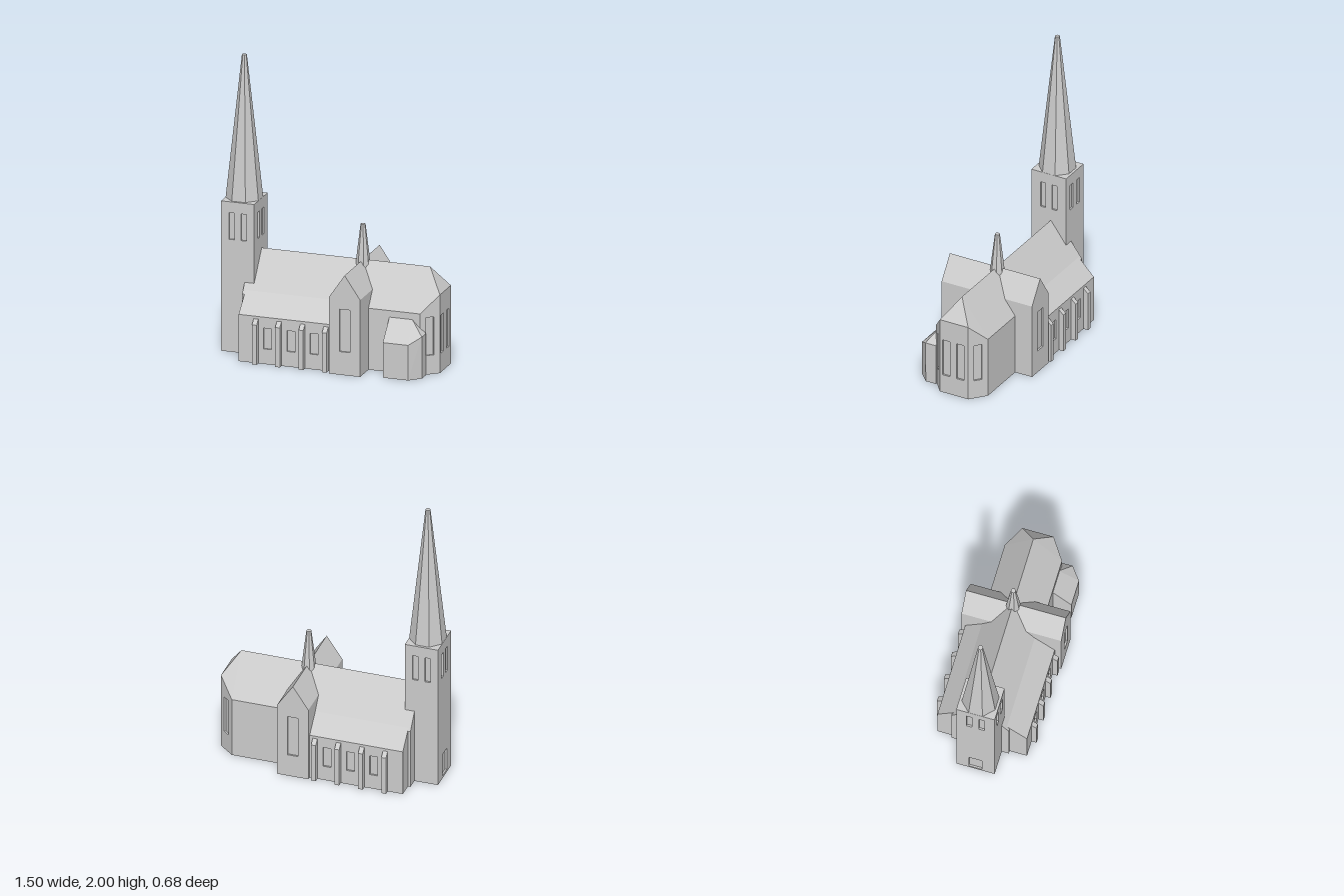
import * as THREE from 'three';
import { ConvexGeometry } from 'three/addons/geometries/ConvexGeometry.js';

const D = 0.012; // window recess depth

export function createModel() {
  const model = new THREE.Group();
  model.name = 'church';
  const stone = new THREE.MeshStandardMaterial({ color: 0xcccccc });
  stone.name = 'pale stone';

  function add(name, geometry, x = 0, y = 0, z = 0) {
    const mesh = new THREE.Mesh(geometry, stone);
    mesh.name = name;
    mesh.position.set(x, y, z);
    model.add(mesh);
    return mesh;
  }
  // Convex solid from its corner points
  const solid = (name, pts) =>
    add(name, new ConvexGeometry(pts.map(p => new THREE.Vector3(...p))));
  // Box from its limits, standing on the ground
  const block = (name, x0, x1, z0, z1, h) =>
    add(name, new THREE.BoxGeometry(x1 - x0, h, z1 - z0), (x0 + x1) / 2, h / 2, (z0 + z1) / 2);

  // Wall slab from a to b ([x, z], left to right seen from outside) with openings [centre, bottom, width, height]
  function wall(name, a, b, hA, hB, openings = []) {
    const dx = b[0] - a[0], dz = b[1] - a[1], len = Math.hypot(dx, dz);
    const shape = new THREE.Shape([[0, 0], [len, 0], [len, hB], [0, hA]].map(p => new THREE.Vector2(...p)));
    for (const [c, y, w, h] of openings) {
      shape.holes.push(new THREE.Path([[c - w / 2, y], [c - w / 2, y + h], [c + w / 2, y + h], [c + w / 2, y]]
        .map(p => new THREE.Vector2(...p))));
    }
    const geo = new THREE.ExtrudeGeometry(shape, { depth: D, bevelEnabled: false });
    const mesh = add(name, geo, a[0] + dz / len * D, 0, a[1] - dx / len * D);
    mesh.rotation.y = Math.atan2(-dz, dx);
  }

  // Eight-sided spire with flat sides facing the axes; rings are [apothem, y]
  function spire(name, rings, x, z) {
    const k = 1 / Math.cos(Math.PI / 8);
    for (let i = 0; i + 1 < rings.length; i++) {
      const [r0, y0] = rings[i], [r1, y1] = rings[i + 1];
      const geo = new THREE.CylinderGeometry(r1 * k, r0 * k, y1 - y0, 8).rotateY(Math.PI / 8).toNonIndexed();
      geo.computeVertexNormals();
      add(name, geo, x, (y0 + y1) / 2, z);
    }
  }

  // Tower with paired belfry windows and a west door
  const tx0 = -0.75, tx1 = -0.522, tz = 0.13, th = 1.025;
  block('towerCore', tx0 + D, tx1 - D, -tz + D, tz - D, th);
  const corners = [[tx0, tz], [tx1, tz], [tx1, -tz], [tx0, -tz]];
  corners.forEach((a, i) => {
    const b = corners[(i + 1) % 4];
    const mid = Math.hypot(b[0] - a[0], b[1] - a[1]) / 2;
    const openings = [-0.042, 0.042].map(o => [mid + o, 0.768, 0.038, 0.182]);
    if (i === 3) openings.push([mid, 0.02, 0.09, 0.16]);
    wall('towerWall', a, b, th, th, openings);
  });
  spire('towerSpire', [[0.113, th], [0.015, 2]], (tx0 + tx1) / 2, 0);

  // Nave and choir: wall core, then the roof hipped over the angled east end
  const zf = 0.178, zb = -0.21, zc = -0.016, eave = 0.42, ridge = 0.685, hip = 0.535;
  const ends = [[zf, 0.09, 0.0844], [zb, -0.122, -0.1164]];
  const core = [], roof = [[-0.588, ridge, zc], [0.64, ridge, zc]];
  for (const [zw, ze, zi] of ends) {
    for (const y of [0, eave]) core.push([-0.588, y, zw], [0.6215, y, zw], [0.745 - D, y, zi]);
    roof.push([-0.588, eave, zw], [0.64, eave, zw], [0.745, hip, ze]);
  }
  solid('naveCore', core);
  solid('naveRoof', roof);
  wall('choirWall', [0.28, zf], [0.64, zf], eave, eave);
  wall('choirWall', [0.64, zb], [0.28, zb], eave, eave);
  const diag = Math.hypot(0.105, 0.088);
  const apseWindow = c => [c, 0.13, 0.054, 0.26];
  wall('apseWall', [0.64, zf], [0.745, 0.09], eave, hip, [apseWindow(diag / 2)]);
  wall('apseWall', [0.745, 0.09], [0.745, -0.122], hip, hip, [apseWindow(0.048), apseWindow(0.153)]);
  wall('apseWall', [0.745, -0.122], [0.64, zb], hip, eave, [apseWindow(diag / 2)]);

  // Side aisles with lean-to roofs, windows and buttresses
  const ax0 = -0.57, ax1 = 0.08, low = 0.32;
  for (const [s, zo, zi] of [[1, 0.296, 0.16], [-1, -0.31, -0.19]]) {
    const inner = zo - s * D;
    block('aisleCore', ax0, ax1, Math.min(inner, zi), Math.max(inner, zi), low);
    solid('aisleRoof', [ax0, ax1].flatMap(x => [[x, low, zo], [x, low, zi], [x, 0.445, zi]]));
    const openings = [-0.37, -0.21, -0.05].map(x => [s > 0 ? x - ax0 : ax1 - x, 0.103, 0.055, 0.142]);
    const [l, r] = s > 0 ? [ax0, ax1] : [ax1, ax0];
    wall('aisleWall', [l, zo], [r, zo], low, low, openings);
    for (const x of [-0.45, -0.29, -0.128, 0.033]) {
      const outer = zo + s * 0.034;
      solid('buttress', [x - 0.016, x + 0.016].flatMap(bx => [
        [bx, 0, inner], [bx, 0, outer], [bx, 0.27, outer], [bx, 0.302, zo], [bx, 0.302, inner]]));
    }
  }

  // Transept with a tall window in each gable
  const cx0 = 0.07, cx1 = 0.284, cz0 = -0.336, cz1 = 0.34, ch = 0.525, cx = (cx0 + cx1) / 2;
  block('transeptCore', cx0, cx1, cz0 + D, cz1 - D, ch);
  solid('transeptRoof', [cz0, cz1].flatMap(z => [[cx0, ch, z], [cx1, ch, z], [cx, 0.682, z]]));
  const tall = [[(cx1 - cx0) / 2, 0.158, 0.073, 0.29]];
  wall('transeptWall', [cx0, cz1], [cx1, cz1], ch, ch, tall);
  wall('transeptWall', [cx1, cz0], [cx0, cz0], ch, ch, tall);

  // Small spire over the crossing
  spire('crossingSpire', [[0.045, 0.6], [0.044, 0.655], [0.037, 0.73], [0.015, 0.927]], cx, zc);

  // Side chapel with a hipped, angled end
  solid('chapel', [
    [0.428, 0, 0.304], [0.602, 0, 0.304], [0.674, 0, 0.235], [0.674, 0, 0.16], [0.428, 0, 0.16],
    [0.428, 0.24, 0.304], [0.602, 0.24, 0.304], [0.674, 0.285, 0.24], [0.674, 0.285, 0.16],
    [0.428, 0.38, 0.174], [0.582, 0.38, 0.174], [0.428, 0.36, 0.16]]);

  return model;
}
